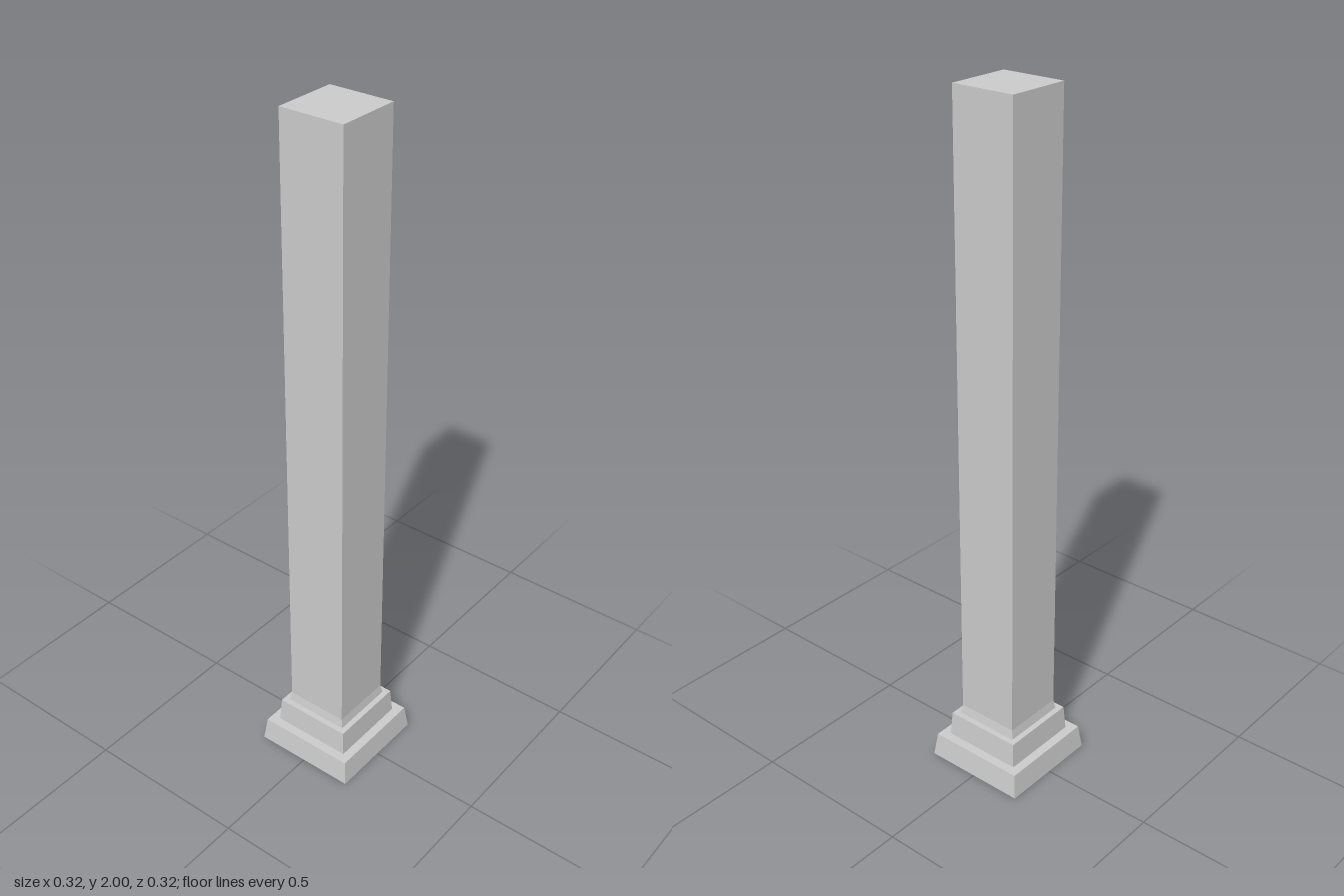
import * as THREE from 'three';

const material = new THREE.MeshStandardMaterial({ color: 0xcccccc, flatShading: true });

// Square tapered block between two heights, given its half widths
function taperedBlock(name, y0, y1, halfBottom, halfTop) {
  const geometry = new THREE.CylinderGeometry(halfTop * Math.SQRT2, halfBottom * Math.SQRT2, y1 - y0, 4);
  geometry.rotateY(Math.PI / 4);
  geometry.translate(0, (y0 + y1) / 2, 0);
  const mesh = new THREE.Mesh(geometry, material);
  mesh.name = name;
  return mesh;
}

export function createModel() {
  const column = new THREE.Group();
  column.name = 'squareColumn';
  column.add(
    // Stepped base
    taperedBlock('plinth', 0, 0.072, 0.158, 0.149),
    taperedBlock('upperStep', 0.072, 0.147, 0.122, 0.117),
    // Slight flare at the foot of the shaft
    taperedBlock('shaftFoot', 0.147, 0.175, 0.1, 0.095),
    taperedBlock('shaft', 0.175, 2, 0.095, 0.095),
  );
  return column;
}
